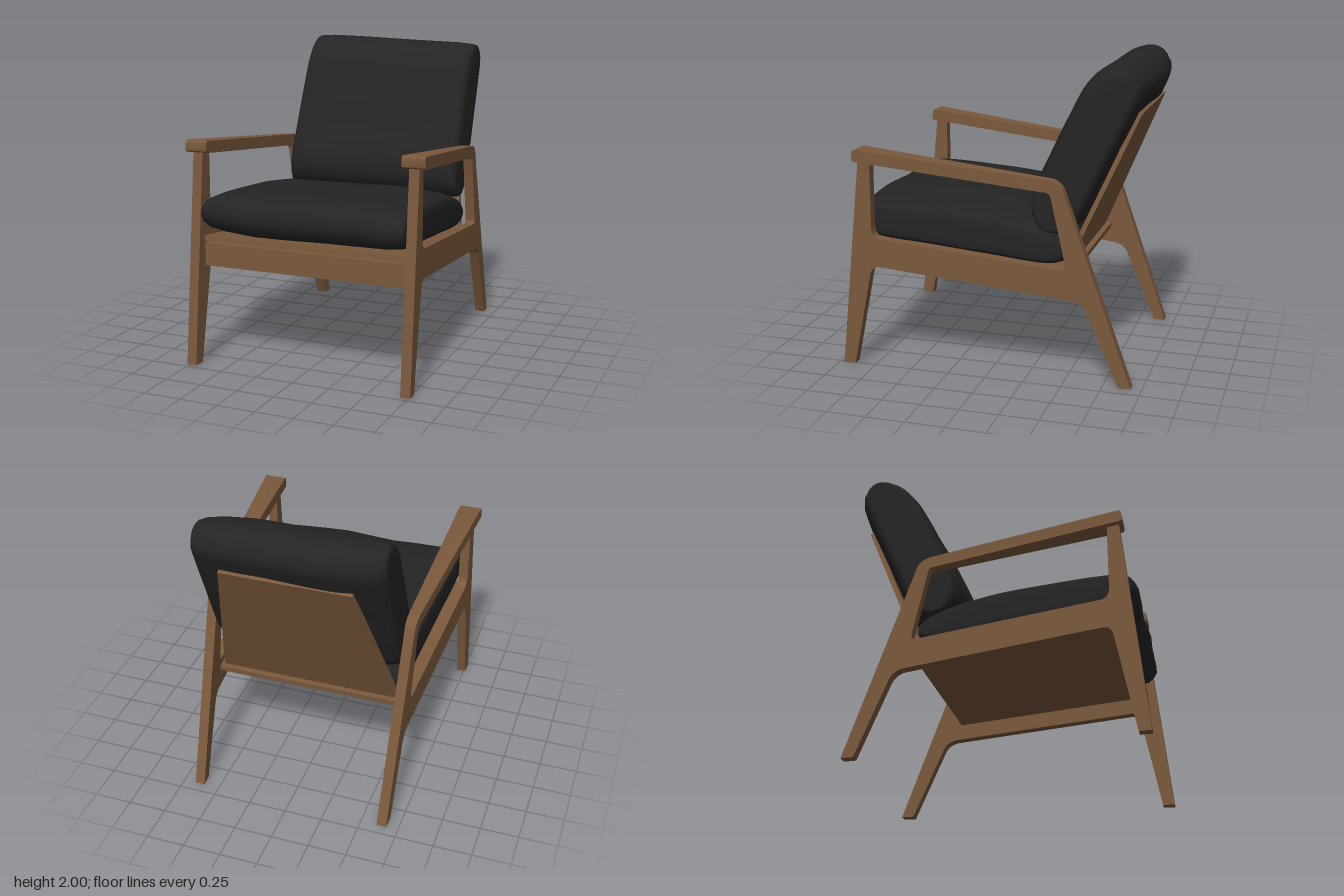
import * as THREE from 'three';
import { toCreasedNormals } from 'three/addons/utils/BufferGeometryUtils.js';

const wood = new THREE.MeshStandardMaterial({ name: 'walnut wood', color: 0x7a593c });
const fabric = new THREE.MeshStandardMaterial({ name: 'black fabric', color: 0x242424 });

function add(parent, name, geometry, material) {
  const mesh = new THREE.Mesh(geometry, material);
  mesh.name = name;
  parent.add(mesh);
  return mesh;
}

// The side frames splay outwards towards the front
const frameCentre = (z) => 0.638 + (z + 0.93) * 0.0503;

// Extrude a (z, y) outline sideways, with a width that depends on z
function sidePart(shape, side, width) {
  const geo = new THREE.ExtrudeGeometry(shape, { depth: 1, bevelEnabled: false, curveSegments: 8 });
  geo.rotateY(-Math.PI / 2);
  const p = geo.attributes.position;
  for (let i = 0; i < p.count; i++) {
    const z = p.getZ(i);
    p.setX(i, side * frameCentre(z) + (p.getX(i) + 0.5) * width(z));
  }
  return toCreasedNormals(geo, 0.6);
}

// Front leg, side rail and rear leg in one piece
function legFrameShape() {
  const s = new THREE.Shape();
  s.moveTo(0.967, 0);
  s.lineTo(0.825, 1.39);
  s.lineTo(0.75, 1.38);
  s.lineTo(0.75, 0.94);
  s.quadraticCurveTo(0.75, 0.87, 0.69, 0.863);
  s.lineTo(-0.475, 0.745);
  s.quadraticCurveTo(-0.515, 0.74, -0.507, 0.78);
  s.lineTo(-0.414, 1.2);
  s.lineTo(-0.505, 1.2);
  s.lineTo(-0.931, 0);
  s.lineTo(-0.851, 0);
  s.lineTo(-0.645, 0.483);
  s.quadraticCurveTo(-0.615, 0.545, -0.549, 0.552);
  s.lineTo(0.7, 0.677);
  s.quadraticCurveTo(0.755, 0.68, 0.767, 0.62);
  s.lineTo(0.889, 0);
  s.closePath();
  return s;
}

// Armrest that bends down into the rear leg
function armShape() {
  const s = new THREE.Shape();
  s.moveTo(0.825, 1.447);
  s.lineTo(-0.39, 1.313);
  s.quadraticCurveTo(-0.46, 1.305, -0.487, 1.25);
  s.lineTo(-0.505, 1.2);
  s.lineTo(-0.414, 1.2);
  s.quadraticCurveTo(-0.408, 1.24, -0.365, 1.237);
  s.lineTo(0.835, 1.37);
  s.quadraticCurveTo(0.852, 1.374, 0.851, 1.39);
  s.lineTo(0.847, 1.43);
  s.quadraticCurveTo(0.845, 1.447, 0.825, 1.447);
  return s;
}

// Tapered board, y from y0 to y1 in its own plane
function board(half0, y0, half1, y1, thickness) {
  const s = new THREE.Shape();
  s.moveTo(-half0, y0);
  s.lineTo(half0, y0);
  s.lineTo(half1, y1);
  s.lineTo(-half1, y1);
  s.closePath();
  return new THREE.ExtrudeGeometry(s, { depth: thickness, bevelEnabled: false });
}

// Cross-sections across the width: [fraction, thickness scale, length scale]
const halfSections = [[1, 0, 0], [1, 0.3, 0.6], [1, 0.58, 0.95], [0.985, 0.7, 0.98], [0.94, 0.82, 0.99],
  [0.8, 0.93, 1], [0.5, 1, 1], [0.25, 1, 1]];
const sections = [...halfSections.map(([f, t, l]) => [-f, t, l]), [0, 1, 1], ...[...halfSections].reverse()];

// Loft a (z, y) outline across the width, pinching it at both ends; place() sets the final point
function cushion(outline, angle, place) {
  const n = 56;
  const curve = new THREE.CatmullRomCurve3(outline.map(([z, y]) => new THREE.Vector3(0, y, z)), true);
  const ring = curve.getSpacedPoints(n).slice(0, n);
  const c = ring.reduce((sum, p) => sum.add(p), new THREE.Vector3()).divideScalar(n);
  const cos = Math.cos(angle), sin = Math.sin(angle);
  const pos = [], index = [];
  sections.forEach(([f, t, l], i) => {
    ring.forEach((p, j) => {
      const dz = p.z - c.z, dy = p.y - c.y;
      const along = (dz * cos + dy * sin) * l;
      const across = (-dz * sin + dy * cos) * t;
      pos.push(...place(f, c.y + along * sin + across * cos, c.z + along * cos - across * sin));
      if (i === 0) return;
      const k = (j + 1) % n, a = (i - 1) * n, b = i * n;
      index.push(a + j, b + j, a + k, b + j, b + k, a + k);
    });
  });
  const geo = new THREE.BufferGeometry();
  geo.setAttribute('position', new THREE.Float32BufferAttribute(pos, 3));
  geo.setIndex(index);
  geo.computeVertexNormals();
  return geo;
}

export function createModel() {
  const model = new THREE.Group();
  model.name = 'armchair';

  // Side frames and armrests
  for (const [side, label] of [[1, 'left'], [-1, 'right']]) {
    const frame = new THREE.Group();
    frame.name = label + 'Frame';
    model.add(frame);
    add(frame, label + 'Legs', sidePart(legFrameShape(), side, () => 0.065), wood);
    const armWidth = (z) => 0.066 + 0.082 * Math.max(0, (z + 0.505) / 1.35);
    add(frame, label + 'Armrest', sidePart(armShape(), side, armWidth), wood);
  }

  // Front apron, seat board and back panel
  add(model, 'frontApron', new THREE.BoxGeometry(1.4, 0.15, 0.05), wood).position.set(0, 0.71, 0.8);
  const seat = add(model, 'seatBoard', board(0.695, -0.83, 0.63, 0.52, 0.035), wood);
  seat.rotation.x = -Math.PI / 2 - 0.1;
  seat.position.y = 0.715;
  const back = add(model, 'backPanel', board(0.61, 0, 0.42, 1.11, 0.03), wood);
  back.rotation.x = -0.407;
  back.position.set(0, 0.68, -0.475);

  // Seat cushion, narrowing to the rear
  const seatOutline = [[0.905, 0.96], [0.9, 1.03], [0.84, 1.085], [0.7, 1.103], [0.35, 1.095], [0, 1.07],
    [-0.3, 1.0], [-0.45, 0.92], [-0.497, 0.84], [-0.48, 0.77], [-0.38, 0.735], [0, 0.765], [0.4, 0.805],
    [0.75, 0.84], [0.86, 0.88]];
  add(model, 'seatCushion', cushion(seatOutline, 0.1,
    (f, y, z) => [f * (0.645 + 0.05 * z), y + 0.006 * Math.sin(f * 5), z + 0.008 * Math.sin(f * 7)]), fabric);

  // Back cushion, leaning on the panel, its top slightly lower on the left
  const backOutline = [[-0.3, 0.985], [-0.235, 1.08], [-0.235, 1.2], [-0.33, 1.42], [-0.45, 1.68], [-0.54, 1.85],
    [-0.64, 1.95], [-0.77, 1.99], [-0.88, 1.96], [-0.95, 1.86], [-0.9, 1.71], [-0.77, 1.42],
    [-0.66, 1.17], [-0.56, 0.99], [-0.45, 0.935]];
  add(model, 'backCushion', cushion(backOutline, Math.PI - 1.13, (f, y, z) => {
    const t = THREE.MathUtils.clamp(y - 1, 0, 1);
    return [f * (0.622 - 0.02 * t) - 0.012 * t, y - 0.016 * f * t, z + 0.012 * Math.sin(f * 4) * t];
  }), fabric);

  return model;
}
